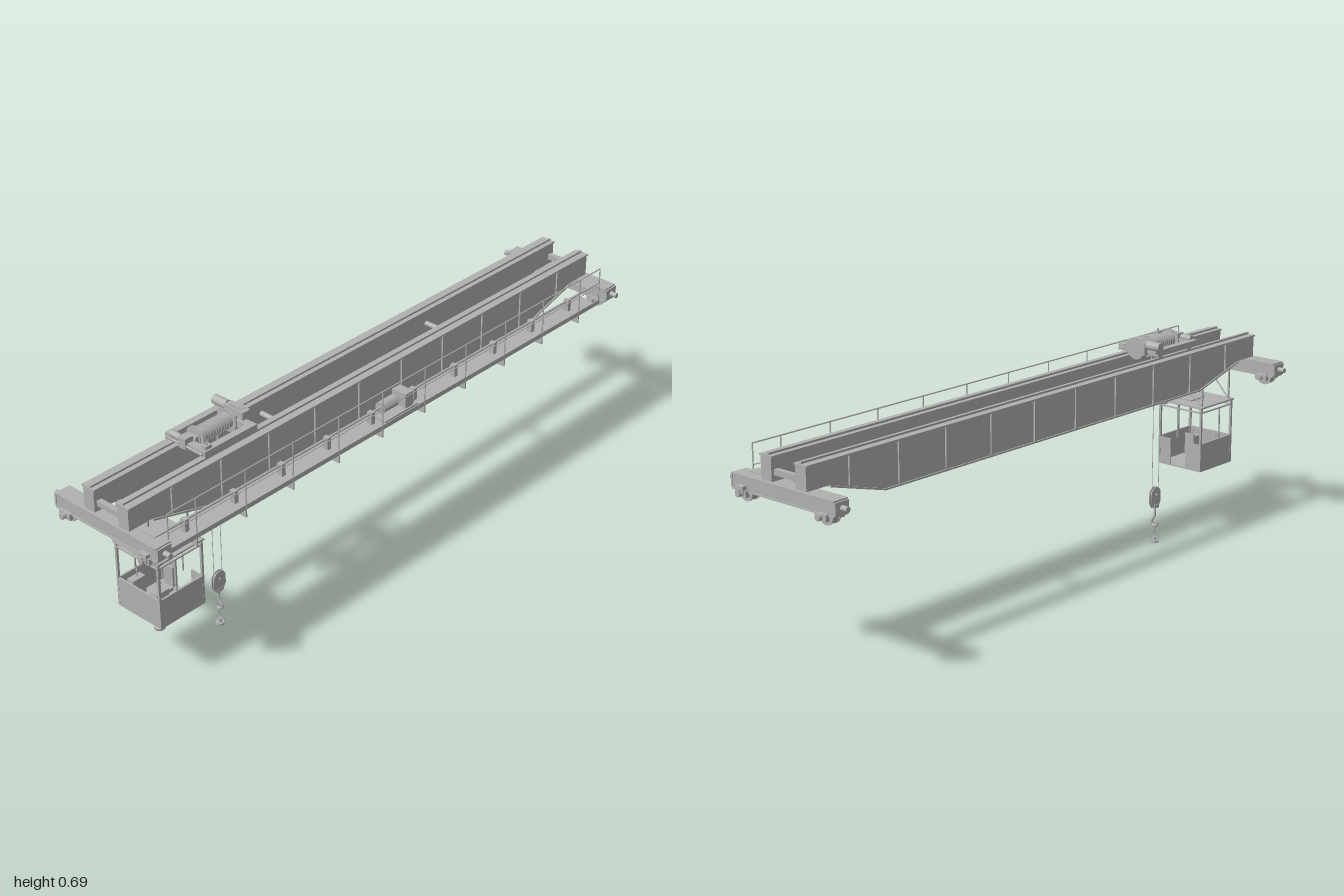
import * as THREE from 'three';

export function createModel() {
  const root = new THREE.Group();
  root.name = 'overheadCrane';
  const steel = new THREE.MeshStandardMaterial({ color: 0xb0b0b0, side: THREE.DoubleSide });
  steel.name = 'greySteel';
  let parent = root;

  const group = (name) => {
    parent = new THREE.Group();
    parent.name = name;
    root.add(parent);
  };
  const add = (name, geo, x = 0, y = 0, z = 0) => {
    const m = new THREE.Mesh(geo, steel);
    m.name = name;
    m.position.set(x, y, z);
    parent.add(m);
    return m;
  };
  // Box given by its limits on each axis
  const box = (name, x0, x1, y0, y1, z0, z1) =>
    add(name, new THREE.BoxGeometry(x1 - x0, y1 - y0, z1 - z0), (x0 + x1) / 2, (y0 + y1) / 2, (z0 + z1) / 2);
  // Cylinder along a chosen axis
  const cyl = (name, axis, r, len, x, y, z, seg = 20) => {
    const g = new THREE.CylinderGeometry(r, r, len, seg);
    if (axis === 'x') g.rotateZ(Math.PI / 2);
    if (axis === 'z') g.rotateX(Math.PI / 2);
    return add(name, g, x, y, z);
  };
  // Round bar between two points
  const bar = (name, a, b, r = 0.002, seg = 6) => {
    const p = new THREE.Vector3(...a), q = new THREE.Vector3(...b);
    const m = add(name, new THREE.CylinderGeometry(r, r, p.distanceTo(q), seg));
    m.position.copy(p).add(q).multiplyScalar(0.5);
    m.quaternion.setFromUnitVectors(new THREE.Vector3(0, 1, 0), q.sub(p).normalize());
    return m;
  };
  // Outline of (z, y) or (x, y) points extruded to a thickness
  const slab = (pts, depth) => new THREE.ExtrudeGeometry(
    new THREE.Shape(pts.map((p) => new THREE.Vector2(...p))), { depth, bevelEnabled: false });

  const stations = Array.from({ length: 10 }, (_, i) => -0.82 + i * 0.1822);

  // Twin box girders with tapered ends, flanges, stiffeners and rails
  group('girders');
  const profile = [[-0.972, 0.55], [-0.89, 0.55], [-0.69, 0.495], [0.69, 0.495],
    [0.89, 0.55], [0.972, 0.55], [0.972, 0.617], [-0.972, 0.617]];
  for (const s of [-1, 1]) {
    const x = s * 0.066;
    add('girderWeb', slab(profile, 0.04).rotateY(-Math.PI / 2), x + 0.02, 0, 0);
    box('topFlange', x - 0.024, x + 0.024, 0.616, 0.621, -0.973, 0.973);
    box('bottomFlange', x - 0.024, x + 0.024, 0.49, 0.495, -0.69, 0.69);
    for (const e of [-1, 1]) {
      const f = box('taperFlange', x - 0.024, x + 0.024, -0.0025, 0.0025, -0.104, 0.104);
      f.position.set(x, 0.52, e * 0.79);
      f.rotation.x = -e * Math.atan2(0.055, 0.2);
    }
    box('trolleyRail', s * 0.062 - 0.005, s * 0.062 + 0.005, 0.621, 0.627, -0.97, 0.97);
    for (const z of stations) {
      const low = Math.abs(z) > 0.69 ? 0.535 : 0.495;
      box('stiffener', x + s * 0.022 - 0.003, x + s * 0.022 + 0.003, low, 0.616, z - 0.003, z + 0.003);
    }
  }
  for (const z of [-0.355, 0.35]) cyl('girderTie', 'x', 0.008, 0.094, 0, 0.575, z);
  for (const z of [-0.955, 0.955]) box('endTie', -0.046, 0.046, 0.567, 0.583, z - 0.008, z + 0.008);

  // End carriages with wheels, buffers and rivets
  group('endCarriages');
  for (const e of [-1, 1]) {
    const z = e * 0.955;
    box('endBeam', -0.195, 0.195, 0.508, 0.547, z - 0.022, z + 0.022);
    box('endBeamTopPlate', -0.195, 0.195, 0.546, 0.55, z - 0.026, z + 0.026);
    box('endBeamBottomPlate', -0.195, 0.195, 0.505, 0.509, z - 0.026, z + 0.026);
    for (const s of [-1, 1]) {
      box('bufferPlate', s * 0.197 - 0.003, s * 0.197 + 0.003, 0.51, 0.546, z - 0.024, z + 0.024);
      cyl('buffer', 'x', 0.008, 0.024, s * 0.21, 0.528, z, 16);
      cyl('travelWheel', 'z', 0.024, 0.02, s * 0.153, 0.501, z, 28);
      cyl('wheelFlange', 'z', 0.027, 0.004, s * 0.153, 0.502, z + e * 0.012, 28);
      cyl('wheelFlange', 'z', 0.027, 0.004, s * 0.153, 0.502, z - e * 0.012, 28);
      for (const k of [-1, 1]) {
        const bz = z + k * 0.027;
        box('axleBox', s * 0.153 - 0.021, s * 0.153 + 0.021, 0.492, 0.511, bz - 0.006, bz + 0.006);
        cyl('axleCap', 'z', 0.009, 0.02, s * 0.153, 0.502, z + k * 0.035, 14);
      }
    }
    for (let i = 0; i < 22; i++) for (const y of [0.514, 0.541])
      cyl('rivet', 'z', 0.0016, 0.002, -0.185 + i * 0.01762, y, z + e * 0.0225, 6);
    box('wheelDrive', 0.14, 0.168, 0.498, 0.522, e * 0.975, e * 0.992);
    cyl('driveStub', 'z', 0.005, 0.016, 0.153, 0.51, e * 0.992, 12);
  }

  // Service walkway with brackets, handrail and drive shaft
  group('walkway');
  box('deck', 0.09, 0.178, 0.495, 0.499, -0.92, 0.92);
  box('deckEdge', 0.175, 0.178, 0.495, 0.51, -0.92, 0.92);
  bar('topRail', [0.177, 0.62, -0.92], [0.177, 0.62, 0.92], 0.0022);
  bar('middleRail', [0.177, 0.56, -0.92], [0.177, 0.56, 0.92], 0.0015);
  const bracket = [[0.087, 0.47], [0.178, 0.47], [0.178, 0.496], [0.087, 0.496]];
  for (const z of stations) {
    add('bracket', slab(bracket, 0.004), 0, 0, z - 0.002);
    bar('railPost', [0.177, 0.495, z], [0.177, 0.62, z], 0.002);
    box('bearingPedestal', 0.123, 0.141, 0.499, 0.537, z - 0.007, z + 0.007);
  }
  for (const z of [-0.92, 0.92]) {
    bar('endPost', [0.177, 0.495, z], [0.177, 0.62, z], 0.002);
    bar('endBrace', [0.11, 0.553, z], [0.155, 0.505, z], 0.0022);
    box('endStep', 0.11, 0.158, 0.551, 0.554, z - 0.03, z + 0.03);
  }
  bar('driveShaft', [0.132, 0.532, -0.96], [0.132, 0.532, 0.96], 0.004, 10);
  box('motorBase', 0.103, 0.165, 0.499, 0.506, -0.075, 0.065);
  cyl('travelMotor', 'z', 0.018, 0.06, 0.132, 0.532, 0.022);
  box('travelGearbox', 0.108, 0.16, 0.506, 0.552, -0.06, -0.026);

  // Trolley with winch drum, motors and wheels
  group('trolley');
  const T = 0.585;
  for (const s of [-1, 1]) {
    box('sideFrame', s * 0.066 - 0.011, s * 0.066 + 0.011, 0.635, 0.654, 0.49, 0.685);
    for (const z of [0.515, 0.655]) cyl('trolleyWheel', 'x', 0.011, 0.014, s * 0.062, 0.638, z);
    cyl('drumFlange', 'z', 0.034, 0.005, 0, 0.651, T + s * 0.06, 28);
    box('drumBearing', -0.018, 0.018, 0.635, 0.664, T + s * 0.072 - 0.006, T + s * 0.072 + 0.006);
  }
  for (const z of [0.5, 0.672]) box('crossFrame', -0.077, 0.077, 0.635, 0.652, z - 0.012, z + 0.012);
  cyl('drum', 'z', 0.023, 0.13, 0, 0.653, T, 24);
  for (let i = 0; i < 10; i++)
    add('ropeTurn', new THREE.TorusGeometry(0.0235, 0.002, 5, 24), 0, 0.653, T - 0.045 + i * 0.01);
  box('hoistGearbox', -0.038, 0.035, 0.635, 0.676, 0.472, 0.502);
  cyl('gearCover', 'z', 0.034, 0.024, 0, 0.652, 0.487, 28);
  cyl('hoistMotor', 'x', 0.014, 0.05, -0.064, 0.666, 0.486);
  box('motorFoot', -0.08, -0.045, 0.645, 0.655, 0.474, 0.498);
  cyl('crossTravelMotor', 'x', 0.01, 0.038, -0.041, 0.656, 0.678);
  box('crossTravelGearbox', -0.018, 0.009, 0.635, 0.668, 0.663, 0.692);
  bar('crossTravelShaft', [-0.07, 0.645, 0.688], [0.07, 0.645, 0.688], 0.003, 8);
  box('brake', 0.055, 0.072, 0.653, 0.664, 0.655, 0.678);
  cyl('brakeKnob', 'y', 0.003, 0.01, 0.064, 0.667, 0.667, 8);
  // Hoist limit frame hanging between the girders
  for (const x of [-0.023, 0.023]) box('limitRod', x - 0.002, x + 0.002, 0.478, 0.637, T - 0.002, T + 0.002);
  box('limitBar', -0.025, 0.025, 0.476, 0.486, T - 0.012, T + 0.012);

  // Ropes, hook block, hook and hanging load
  group('hoist');
  for (const z of [T - 0.016, T + 0.016]) bar('rope', [0, 0.165, z], [0, 0.65, z], 0.001, 5);
  const cheek = new THREE.Shape();
  cheek.absarc(0, 0.16, 0.023, 0, Math.PI);
  cheek.lineTo(-0.023, 0.135);
  cheek.lineTo(-0.012, 0.115);
  cheek.lineTo(0.012, 0.115);
  cheek.lineTo(0.023, 0.135);
  for (const x of [0.0055, -0.0025])
    add('blockCheek', new THREE.ExtrudeGeometry(cheek, { depth: 0.003, bevelEnabled: false }).rotateY(-Math.PI / 2), x + 0.001, 0, T);
  cyl('sheave', 'x', 0.02, 0.006, 0, 0.158, T, 24);
  cyl('sheavePin', 'x', 0.004, 0.02, 0, 0.158, T, 10);
  box('hookCrosshead', -0.008, 0.008, 0.115, 0.126, T - 0.01, T + 0.01);
  bar('hookShank', [0, 0.085, T], [0, 0.118, T], 0.0035, 10);
  const hookPath = new THREE.CatmullRomCurve3([[0, 0.09], [0.003, 0.082], [0.0105, 0.072], [0.0105, 0.06], [0, 0.053],
    [-0.0095, 0.058], [-0.0115, 0.068]].map(([x, y]) => new THREE.Vector3(x, y, T)));
  add('hook', new THREE.TubeGeometry(hookPath, 28, 0.0034, 8));
  for (const x of [-0.011, 0.011]) for (const z of [-0.011, 0.011])
    bar('sling', [0, 0.053, T], [x, 0.006, T + z], 0.0006, 4);
  cyl('loadPlate', 'y', 0.013, 0.006, 0, 0.003, T, 20);
  cyl('loadBoss', 'y', 0.006, 0.012, 0, 0.012, T, 14);

  // Operator's cab hung under the front end
  group('cab');
  const [X0, X1, Z0, Z1] = [-0.06, 0.108, 0.738, 0.902];
  box('floor', X0, X1, 0.208, 0.213, Z0, Z1);
  box('floorBeam', -0.015, 0.07, 0.204, 0.209, Z0 + 0.02, Z1 - 0.02);
  box('roof', X0 - 0.004, X1 + 0.004, 0.416, 0.421, Z0 - 0.004, Z1 + 0.004);
  box('frontPanel', X0, X1, 0.21, 0.298, Z1 - 0.003, Z1);
  box('leftPanel', X1 - 0.003, X1, 0.21, 0.298, Z0, Z1);
  box('rightPanel', X0, X0 + 0.003, 0.21, 0.298, Z0, Z1);
  box('backPanel', X0, 0.0, 0.21, 0.298, Z0, Z0 + 0.003);
  box('backPanel', 0.06, X1, 0.21, 0.298, Z0, Z0 + 0.003);
  for (const x of [X0 + 0.003, X1 - 0.003]) {
    for (const z of [Z0 + 0.003, Z1 - 0.003]) box('cornerPost', x - 0.0035, x + 0.0035, 0.21, 0.418, z - 0.0035, z + 0.0035);
    for (const y of [0.298, 0.402]) box('sideRail', x - 0.003, x + 0.003, y - 0.002, y + 0.002, Z0, Z1);
    box('windowPost', x - 0.002, x + 0.002, 0.298, 0.402, 0.835, 0.839);
  }
  for (const z of [Z0 + 0.003, Z1 - 0.003]) box('headRail', X0, X1, 0.4, 0.404, z - 0.003, z + 0.003);
  box('sill', X0, X1, 0.296, 0.3, Z1 - 0.006, Z1);
  // Cab furniture
  box('seat', 0.0, 0.035, 0.24, 0.25, 0.785, 0.82);
  box('seatBack', 0.0, 0.035, 0.25, 0.313, 0.78, 0.786);
  box('seatStem', 0.012, 0.023, 0.213, 0.24, 0.797, 0.808);
  for (const x of [-0.038, 0.055]) {
    box('controlDesk', x - 0.012, x + 0.012, 0.213, 0.285, 0.83, 0.875);
    bar('controlLever', [x, 0.285, 0.85], [x, 0.307, 0.85], 0.0015);
    add('leverKnob', new THREE.SphereGeometry(0.0035, 8, 6), x, 0.308, 0.85);
  }
  bar('innerPole', [0.05, 0.3, 0.76], [0.05, 0.416, 0.76], 0.0025);
  bar('warningBellStem', [0.072, 0.2, 0.875], [0.072, 0.21, 0.875], 0.004, 10);
  add('warningBell', new THREE.LatheGeometry([[0.006, 0.203], [0.007, 0.195], [0.014, 0.187], [0.015, 0.181], [0, 0.183]]
    .map((p) => new THREE.Vector2(...p)), 20), 0.072, 0, 0.875);
  // Hangers and braces up to the girder
  for (const z of [Z0 + 0.012, Z1 - 0.012]) {
    const top = z > 0.85 ? 0.555 : 0.52;
    for (const x of [-0.053, 0.066]) box('hanger', x - 0.0025, x + 0.0025, 0.42, top, z - 0.0025, z + 0.0025);
    bar('hangerBrace', [-0.05, 0.425, z], [0.06, top - 0.015, z], 0.0022);
  }
  box('roofBox', 0.012, 0.07, 0.42, 0.425, 0.78, 0.85);

  return root;
}
